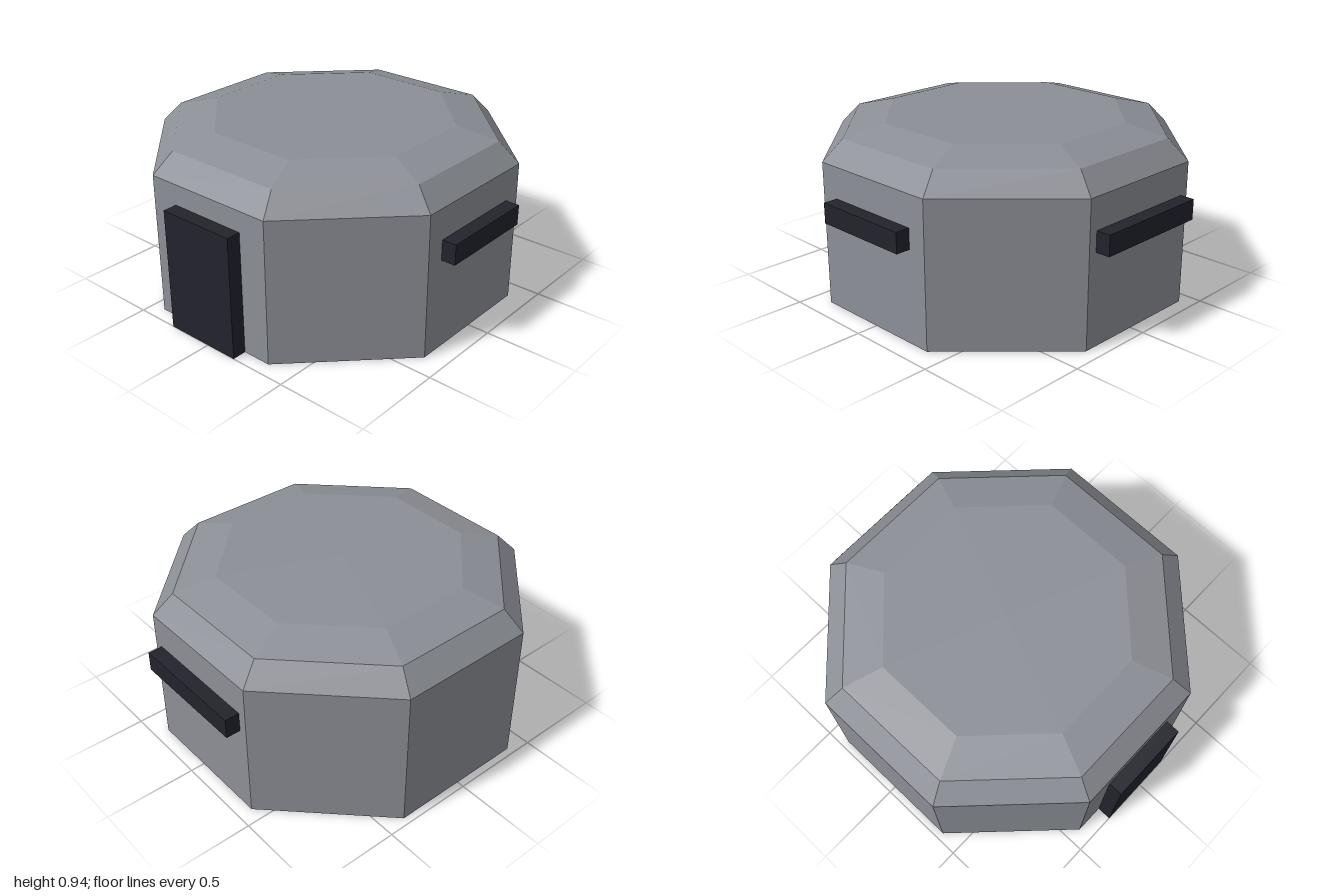
import * as THREE from 'three';

export function createModel() {
  const model = new THREE.Group();
  model.name = 'bunker';
  const concrete = new THREE.MeshStandardMaterial({ color: 0x8c8f96 });
  concrete.name = 'concrete grey';
  concrete.flatShading = true;
  const dark = new THREE.MeshStandardMaterial({ color: 0x22232c });
  dark.name = 'dark opening';

  const SIDES = 8;
  const APOTHEM = 0.922; // distance from the centre to a wall
  const PROUD = 0.078; // how far openings stand out of the wall

  // the shell sits slightly back so the front slit stays inside the footprint
  const shell = new THREE.Group();
  shell.name = 'shell';
  shell.position.z = -PROUD / 2;
  model.add(shell);

  // octagonal tier with flat sides facing the axes
  function tier(name, bottom, top, y0, y1, open) {
    const k = 1 / Math.cos(Math.PI / SIDES);
    const geo = new THREE.CylinderGeometry(top * k, bottom * k, y1 - y0, SIDES, 1, open);
    geo.rotateY(Math.PI / SIDES);
    geo.translate(0, (y0 + y1) / 2, 0);
    const mesh = new THREE.Mesh(geo, concrete);
    mesh.name = name;
    shell.add(mesh);
  }

  // walls and floor, then the two roof bevels; the last one carries the flat top
  tier('walls', APOTHEM, APOTHEM, 0, 0.78, false);
  tier('lowerRoofBevel', APOTHEM, 0.82, 0.78, 0.89, true);
  tier('upperRoof', 0.82, 0.615, 0.89, 0.945, false);

  // block standing out of the wall that faces the given angle (0 = front)
  function opening(name, width, y0, y1, angle) {
    const geo = new THREE.BoxGeometry(width, y1 - y0, PROUD);
    geo.translate(0, (y0 + y1) / 2, APOTHEM + PROUD / 2);
    geo.rotateY(angle);
    const mesh = new THREE.Mesh(geo, dark);
    mesh.name = name;
    shell.add(mesh);
  }

  opening('frontSlit', 0.555, 0.5, 0.61, 0);
  opening('leftSlit', 0.667, 0.5, 0.61, Math.PI / 2);
  opening('door', 0.444, 0, 0.667, -Math.PI / 2);

  return model;
}
